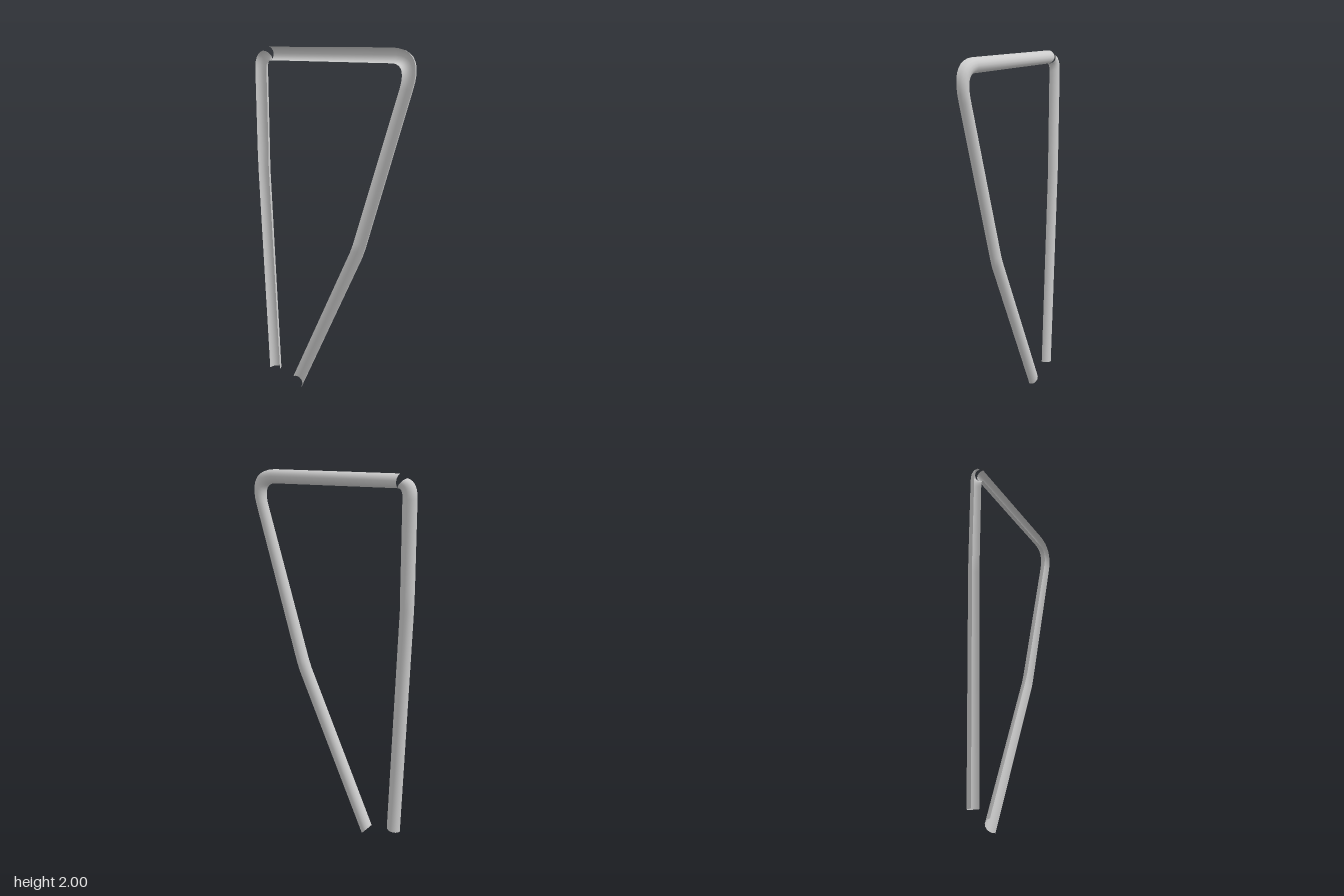
import * as THREE from 'three';

const material = new THREE.MeshStandardMaterial({ color: 0xcccccc, side: THREE.DoubleSide });
const DEPTH = 0.04; // depth of the half-round channel, open towards +z
const SIDES = 8;

// A station is [outerX, outerY, innerX, innerY]: the two rims of the channel.
// Rounds a corner from station a to b, steering both rims by station c.
function bend(a, c, b, steps = 7) {
  const rim = (i) => new THREE.QuadraticBezierCurve(
    new THREE.Vector2(a[i], a[i + 1]),
    new THREE.Vector2(c[i], c[i + 1]),
    new THREE.Vector2(b[i], b[i + 1])
  ).getPoints(steps);
  const outer = rim(0), inner = rim(2);
  return outer.map((p, i) => [p.x, p.y, inner[i].x, inner[i].y]);
}

// Lofts an open half-round section along the stations.
function channel(name, stations) {
  const positions = [], index = [];
  for (const [ox, oy, ix, iy] of stations) {
    for (let j = 0; j <= SIDES; j++) {
      const a = (j / SIDES) * Math.PI;
      const t = (1 - Math.cos(a)) / 2;
      positions.push(ox + (ix - ox) * t, oy + (iy - oy) * t, DEPTH / 2 - DEPTH * Math.sin(a));
    }
  }
  const row = SIDES + 1;
  for (let i = 0; i < stations.length - 1; i++) {
    for (let j = 0; j < SIDES; j++) {
      const a = i * row + j, b = a + row;
      index.push(a, b, a + 1, b, b + 1, a + 1);
    }
  }
  const geometry = new THREE.BufferGeometry();
  geometry.setAttribute('position', new THREE.Float32BufferAttribute(positions, 3));
  geometry.setIndex(index);
  geometry.computeVertexNormals();
  const mesh = new THREE.Mesh(geometry, material);
  mesh.name = name;
  return mesh;
}

export function createModel() {
  const group = new THREE.Group();
  group.name = 'channelFrame';

  // Upright strip with its rounded upper corner
  group.add(channel('uprightTrim', [
    [-0.447, 0.067, -0.371, 0.08],
    [-0.494, 1.3, -0.419, 1.31],
    [-0.496, 1.42, -0.418, 1.42],
    ...bend(
      [-0.496, 1.86, -0.418, 1.86],
      [-0.496, 1.945, -0.42, 1.908],
      [-0.44, 1.96, -0.393, 1.911]
    ),
  ]));

  // Top rail, rounded corner and the kinked slanting strip
  group.add(channel('topAndSlantedTrim', [
    [-0.402, 1.982, -0.393, 1.911],
    ...bend(
      [0.36, 2.0, 0.36, 1.925],
      [0.54, 2.0, 0.445, 1.925],
      [0.475, 1.8, 0.405, 1.8],
      9
    ),
    [0.222, 0.955, 0.146, 0.965],
    [0.203, 0.9, 0.129, 0.92],
    [-0.215, 0.0, -0.27, 0.058],
  ]));

  return group;
}
